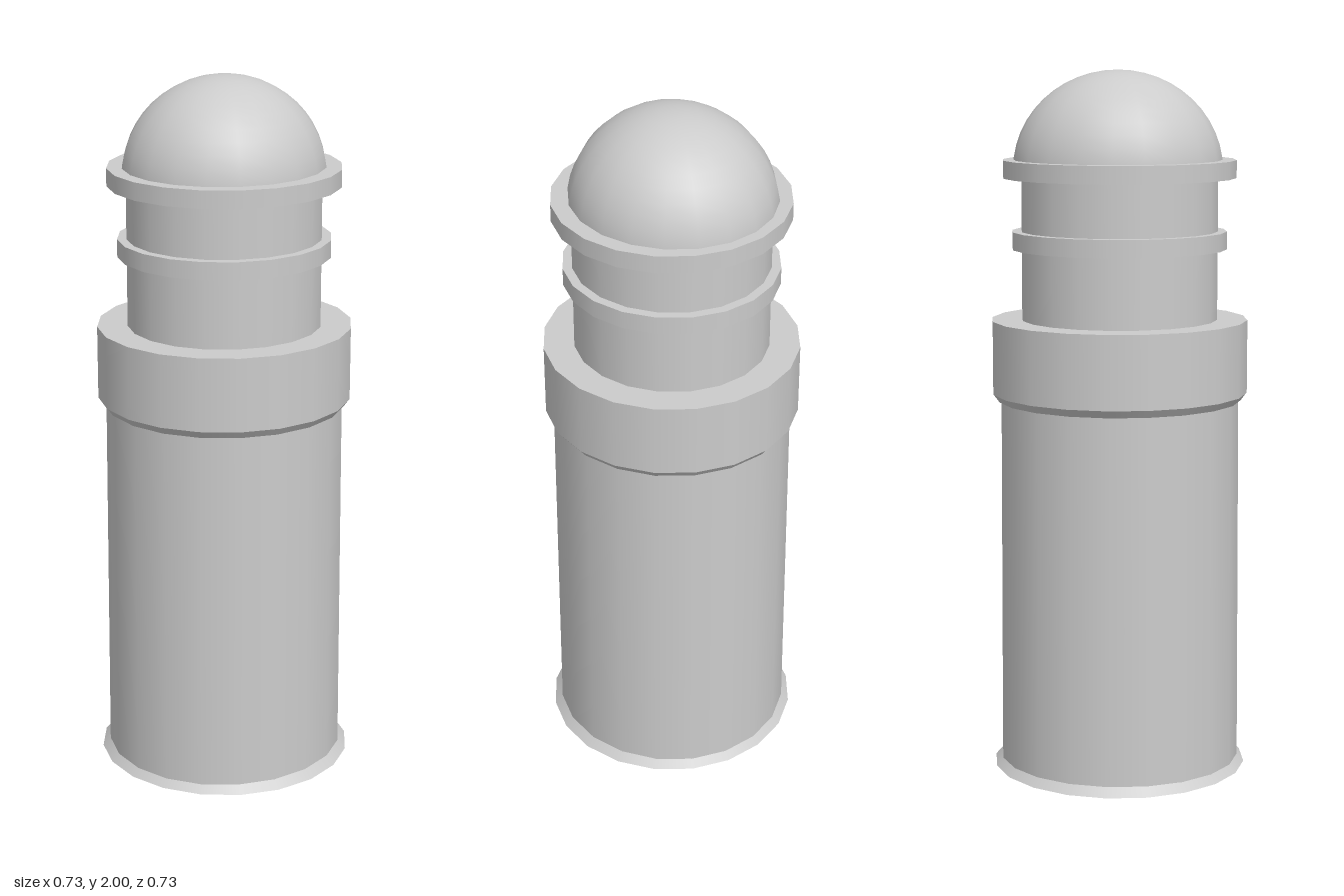
import * as THREE from 'three';

const SIDES = 20;

export function createModel() {
  const group = new THREE.Group();
  const material = new THREE.MeshStandardMaterial({ color: 0xcccccc });

  function add(name, geometry) {
    const mesh = new THREE.Mesh(geometry, material);
    mesh.name = name;
    group.add(mesh);
    return mesh;
  }

  // Closed round section from y0 to y1, a touch deeper than wide
  function section(name, y0, y1, r0, r1 = r0, depth = 1) {
    const mesh = add(name, new THREE.CylinderGeometry(r1, r0, y1 - y0, SIDES));
    mesh.position.y = (y0 + y1) / 2;
    mesh.scale.z = depth;
    return mesh;
  }

  // Lower body with flared foot
  section('baseFlare', 0, 0.025, 0.365, 0.342);
  section('body', 0.02, 1.08, 0.342, 0.337, 1.01);

  // Wide collar with a bevelled underside
  section('collarBevel', 1.07, 1.092, 0.342, 0.358, 1.015);
  section('collar', 1.092, 1.3, 0.359, 0.359, 1.015);

  // Neck with two rings
  section('neck', 1.29, 1.71, 0.273, 0.273, 1.02);
  section('neckRing', 1.5, 1.55, 0.299, 0.299, 1.02);
  section('topFlange', 1.7, 1.75, 0.327, 0.327, 1.01);

  // Domed cap, slightly turned
  const dome = add('dome', new THREE.SphereGeometry(1, SIDES, 12, 0, Math.PI * 2, 0, Math.PI / 2));
  dome.scale.set(0.284, 0.28, 0.296);
  dome.position.set(-0.003, 1.72, -0.004);
  dome.rotation.y = 0.04;

  return group;
}
